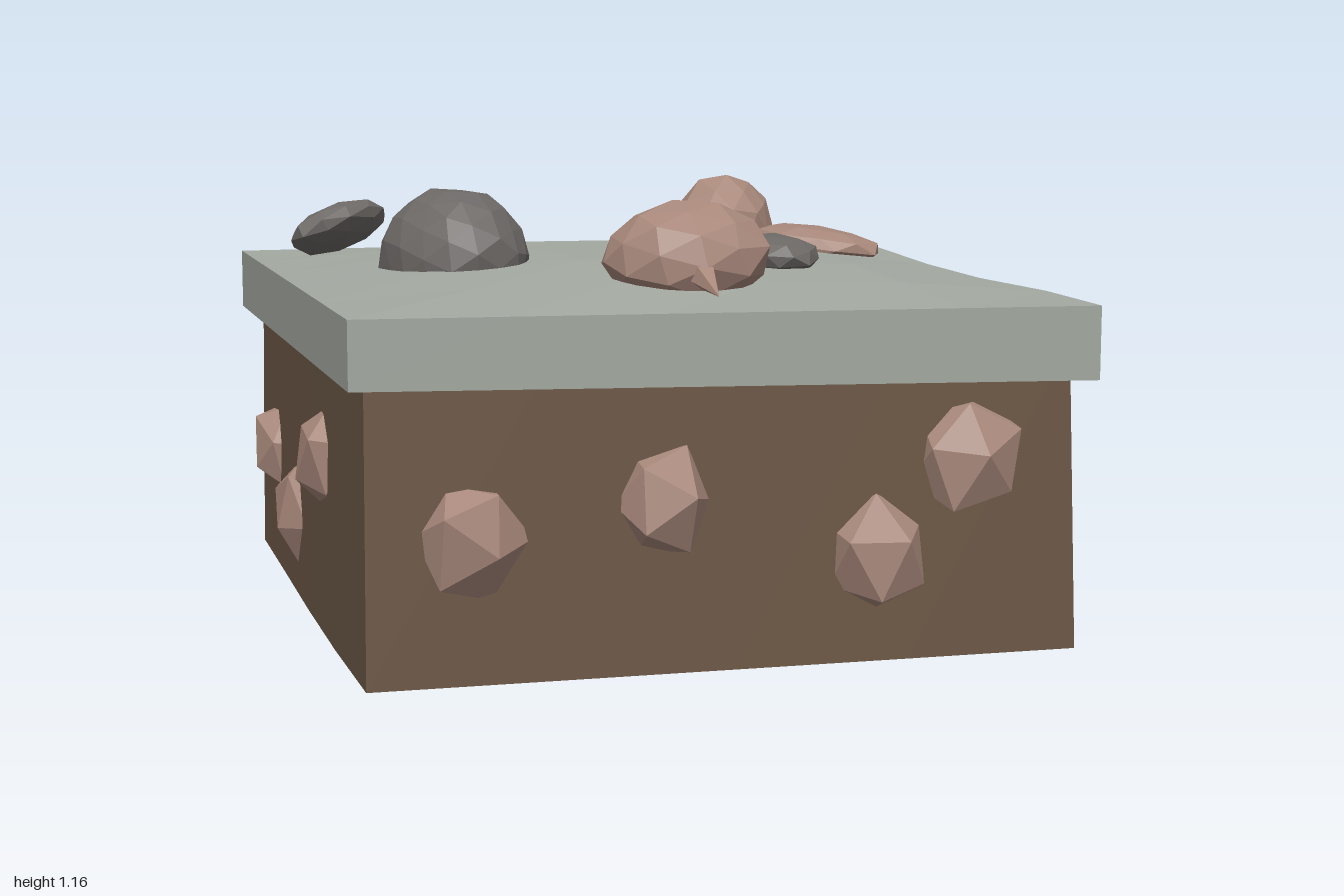
import * as THREE from 'three';

const PINK = 0xa8887b, GREY = 0x6d6967, SOIL = 0x6b5745, SLAB = 0xa3a9a1;

function makeMesh(name, geometry, color) {
  const material = new THREE.MeshStandardMaterial({ color, flatShading: true });
  const mesh = new THREE.Mesh(geometry, material);
  mesh.name = name;
  return mesh;
}

// Moves every vertex by a rule that depends on its position only, so seams stay closed
function reshape(geometry, rule) {
  const p = geometry.attributes.position, v = new THREE.Vector3();
  for (let i = 0; i < p.count; i++) {
    rule(v.fromBufferAttribute(p, i));
    p.setXYZ(i, v.x, v.y, v.z);
  }
  geometry.computeVertexNormals();
  return geometry;
}

// Repeatable value in 0..1 for a direction and a seed
function hash(v, seed) {
  const r = (n) => Math.round(n * 1000) / 1000 + 0;
  const s = Math.sin(r(v.x) * 12.99 + r(v.y) * 78.23 + r(v.z) * 37.72 + seed * 4.13) * 4375.85;
  return s - Math.floor(s);
}

// Faceted stone: a jittered icosahedron scaled to the half sizes
function rock(name, color, pos, half, seed, detail = 0, rough = 0.25, rot = [0, 0, 0]) {
  const geometry = new THREE.IcosahedronGeometry(1, detail);
  const turn = new THREE.Euler(seed * 1.3, seed * 2.1, seed * 0.7);
  reshape(geometry, (v) => {
    v.multiplyScalar(1 + rough * 0.4 - rough * hash(v, seed)).applyEuler(turn);
    v.set(v.x * half[0], v.y * half[1], v.z * half[2]);
  });
  const mesh = makeMesh(name, geometry, color);
  mesh.position.set(...pos);
  mesh.rotation.set(...rot);
  return mesh;
}

export function createModel() {
  const model = new THREE.Group();
  const { smoothstep } = THREE.MathUtils;

  // Earth block, flaring slightly at its foot, with an uneven underside
  const soil = new THREE.BoxGeometry(2, 1, 2, 4, 1, 4);
  reshape(soil, (v) => {
    const low = v.y < 0;
    const { x, z } = v;
    v.y = low ? 0.022 - 0.01 * x - 0.012 * Math.cos((z - 0.4) * 2) : 0.8;
    v.x = x * (low ? 0.92 : 0.908);
    v.z = z > 0 ? z * (low ? 0.915 : 0.87) : z * 0.87;
  });
  model.add(makeMesh('earthBlock', soil, SOIL));

  // Stone slab: domed on top, sagging towards the right-hand front
  const slab = new THREE.BoxGeometry(2, 1, 2, 5, 1, 5);
  reshape(slab, (v) => {
    const { x, z } = v;
    const side = (x + 1) / 2, sag = side * smoothstep(z, -0.9, 0.1);
    if (v.y < 0) v.y = 0.757 - 0.052 * sag;
    else {
      const dome = (1 - x * x) * (1 - z * z);
      v.y = 0.925 - 0.03 * sag + 0.062 * dome + 0.015 * dome * (hash({ x, y: 0, z }, 2) - 0.5);
    }
    v.x = x * 0.962 + (x > 0.99 && z > 0.5 && z < 0.9 ? 0.025 : 0);
    v.z = z > 0 ? z * (0.957 - 0.022 * x) : z * 0.935;
  });
  model.add(makeMesh('stoneSlab', slab, SLAB));

  // Stones set in each wall: position along the wall, height, half width, half height
  const walls = {
    front: [[-0.66, 0.38, 0.15, 0.16], [-0.18, 0.44, 0.135, 0.15],
      [0.38, 0.28, 0.145, 0.155], [0.63, 0.52, 0.16, 0.16]],
    back: [[0.62, 0.37, 0.14, 0.17], [0.44, 0.59, 0.15, 0.15], [0.12, 0.44, 0.17, 0.16],
      [-0.19, 0.57, 0.11, 0.12], [-0.24, 0.28, 0.15, 0.18], [-0.58, 0.52, 0.14, 0.16]],
    right: [[0.62, 0.33, 0.125, 0.115], [0.2, 0.42, 0.115, 0.125], [-0.25, 0.51, 0.135, 0.13],
      [-0.25, 0.26, 0.14, 0.14], [-0.57, 0.44, 0.12, 0.14]],
    left: [[0.24, 0.49, 0.13, 0.15], [-0.58, 0.38, 0.11, 0.14], [-0.21, 0.255, 0.12, 0.15]],
  };
  let seed = 1;
  for (const [wall, stones] of Object.entries(walls)) {
    const group = new THREE.Group();
    group.name = wall + 'WallStones';
    for (const [along, y, w, h] of stones) {
      seed++;
      if (wall === 'front' || wall === 'back') {
        const z = wall === 'front' ? 0.87 : -0.87;
        group.add(rock('wallStone', PINK, [along, y, z], [w, h, 0.125], seed));
      } else {
        const x = wall === 'right' ? 0.9 : -0.9;
        group.add(rock('wallStone', PINK, [x, y, along], [0.09, h, w], seed));
      }
    }
    model.add(group);
  }

  // Stones lying on the slab
  model.add(
    rock('roundBoulder', GREY, [-0.51, 0.965, 0.03], [0.195, 0.2, 0.235], 3, 2, 0.08, [0, 0.25, 0]),
    rock('smallPebble', GREY, [0.34, 0.975, 0.17], [0.14, 0.06, 0.178], 5, 1, 0.1),
    rock('peakedStone', PINK, [0.45, 1.0, -0.55], [0.15, 0.155, 0.155], 4, 1, 0.15),
    rock('flatStone', PINK, [0.69, 0.945, -0.44], [0.205, 0.06, 0.245], 9, 1, 0.15, [0, 0.2, -0.1]),
    rock('frontBoulder', PINK, [-0.02, 1.015, 0.55], [0.222, 0.138, 0.185], 7, 1, 0.12),
  );

  // Leaning disc-like pebble in the back corner
  const disc = rock('leaningPebble', GREY, [0, 0, 0], [0.135, 0.06, 0.185], 6, 1, 0.08);
  disc.rotation.y = -Math.PI / 4;
  const leaning = new THREE.Group();
  leaning.name = 'leaningPebbleGroup';
  leaning.add(disc);
  leaning.position.set(-0.71, 1.01, -0.66);
  leaning.quaternion.setFromUnitVectors(
    new THREE.Vector3(0, 1, 0), new THREE.Vector3(-0.35, 0.87, -0.35).normalize());
  model.add(leaning);

  // Pointed shard on the front boulder
  const shard = makeMesh('boulderShard', new THREE.ConeGeometry(0.055, 0.2, 5), PINK);
  shard.position.set(-0.02, 0.965, 0.74);
  shard.rotation.x = Math.PI / 2 + 0.3;
  model.add(shard);

  return model;
}
